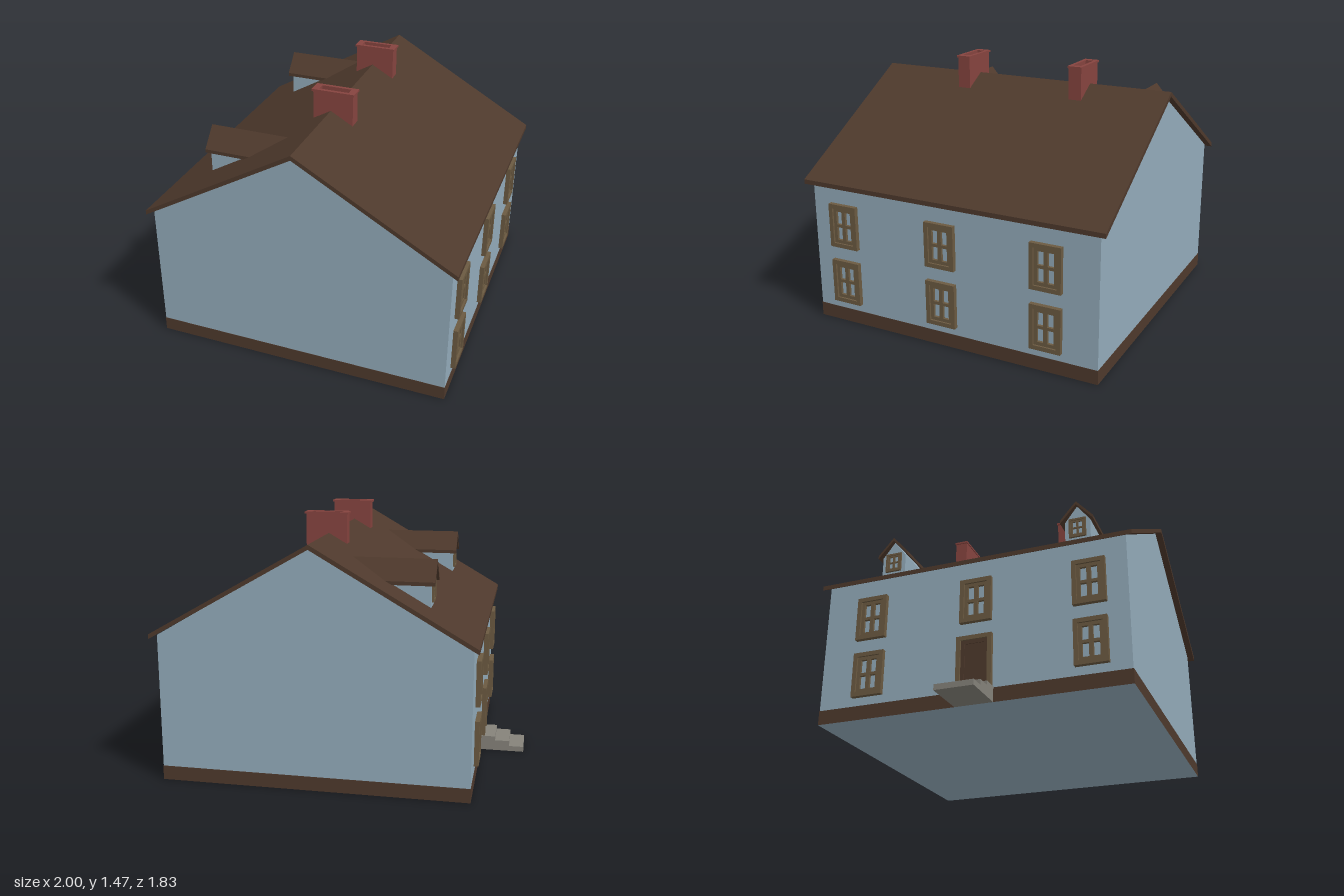
import * as THREE from 'three';

const mat = (name, color) => Object.assign(new THREE.MeshStandardMaterial({ color }), { name });
const wallBlue = mat('wall blue', 0x93abba);
const roofBrown = mat('roof brown', 0x4e392c);
const brick = mat('brick red', 0x86443f);
const timber = mat('window timber', 0x6b5a41);
const stone = mat('step stone', 0x85827a);

function add(parent, name, geometry, material, x = 0, y = 0, z = 0) {
  const mesh = new THREE.Mesh(geometry, material);
  mesh.name = name;
  mesh.position.set(x, y, z);
  parent.add(mesh);
  return mesh;
}

const polygon = (points) => new THREE.Shape(points.map(([x, y]) => new THREE.Vector2(x, y)));
const rect = (x0, y0, x1, y1) => [[x0, y0], [x1, y0], [x1, y1], [x0, y1]];

// Straight extrusion of an outline, with optional holes
function extrude(points, depth, holes = []) {
  const shape = polygon(points);
  for (const h of holes) shape.holes.push(polygon(h));
  return new THREE.ExtrudeGeometry(shape, { depth, bevelEnabled: false });
}

// Roof section: a bent strip of even vertical thickness
const chevron = (x0, y0, xr, yr, x1, y1, t) =>
  [[x0, y0 - t], [xr, yr - t], [x1, y1 - t], [x1, y1], [xr, yr], [x0, y0]];

// Four-pane window facing +z, centred on its origin
function makeWindow(name, w, h, border, sash, depth) {
  const g = new THREE.Group();
  g.name = name;
  const a = w / 2, b = h / 2, c = a - border, d = b - border;
  add(g, 'windowFrame', extrude(rect(-a, -b, a, b), depth, [rect(-c, -d, c, d)]), timber);
  const e = c - sash, f = d - sash, m = sash * 0.6, n = sash * 0.45;
  const panes = [
    rect(-e, -f, -m, -n), rect(m, -f, e, -n),
    rect(-e, n, -m, f), rect(m, n, e, f),
  ];
  add(g, 'windowSash', extrude(rect(-c, -d, c, d), depth * 0.6, panes), timber);
  return g;
}

// Put a part built facing +z onto a side wall (side -1 or +1)
function mount(parent, part, side, x, y, z) {
  part.rotation.y = side * Math.PI / 2;
  part.position.set(x, y, z);
  parent.add(part);
}

function makeDoor() {
  const g = new THREE.Group();
  g.name = 'door';
  const a = 0.1, h = 0.3, t = 0.024;
  add(g, 'doorFrame', extrude(
    [[-a, 0], [-a + t, 0], [-a + t, h - t], [a - t, h - t], [a - t, 0], [a, 0], [a, h], [-a, h]],
    0.024), timber);
  add(g, 'doorLeaf', new THREE.BoxGeometry(2 * (a - t), h - t, 0.01), roofBrown, 0, (h - t) / 2, 0.005);
  // Raised stiles and rails around the door panels
  add(g, 'doorPanelling', extrude(rect(-a + t, 0, a - t, h - t), 0.014,
    [rect(-0.055, 0.025, 0.055, 0.255)]), roofBrown);
  return g;
}

function makeDormer(z) {
  const g = new THREE.Group();
  g.name = 'dormer';
  g.position.z = z;
  const body = add(g, 'dormerWalls', extrude(
    [[-0.075, 0.98], [0.075, 0.98], [0.075, 1.13], [0, 1.228], [-0.075, 1.13]], 0.36), wallBlue, -0.497);
  body.rotation.y = Math.PI / 2;
  const roof = add(g, 'dormerRoof', extrude(
    chevron(-0.097, 1.14, 0, 1.25, 0.097, 1.14, 0.02), 0.46), roofBrown, -0.52);
  roof.rotation.y = Math.PI / 2;
  mount(g, makeWindow('dormerWindow', 0.1, 0.12, 0.012, 0.01, 0.012), -1, -0.497, 1.085, 0);
  return g;
}

function makeChimney(z) {
  const g = new THREE.Group();
  g.name = 'chimney';
  g.position.set(0.123, 0, z);
  const flue = [rect(-0.085, -0.023, 0.085, 0.023)];
  const stack = add(g, 'chimneyStack', extrude(rect(-0.115, -0.038, 0.115, 0.038), 0.25, flue), brick, 0, 1.21);
  const cap = add(g, 'chimneyCap', extrude(rect(-0.123, -0.043, 0.123, 0.043), 0.012, flue), brick, 0, 1.454);
  for (const m of [stack, cap]) m.rotation.x = -Math.PI / 2;
  return g;
}

export function createModel() {
  const house = new THREE.Group();
  house.name = 'house';
  const xL = -0.743, xR = 0.966, zW = 0.875, ridge = 0.11;

  // Gabled body and roof, extruded front to back
  add(house, 'walls', extrude(
    [[xL, 0.002], [xR, 0.002], [xR, 0.832], [ridge, 1.325], [xL, 0.832]], 2 * zW), wallBlue, 0, 0, -zW);
  add(house, 'roof', extrude(
    chevron(-0.772, 0.842, ridge, 1.35, 1, 0.842, 0.026), 1.826), roofBrown, 0, 0, -0.913);

  // Plinth band, with a plain underside
  const sides = [roofBrown, roofBrown, roofBrown, wallBlue, roofBrown, roofBrown];
  add(house, 'plinth', new THREE.BoxGeometry(xR - xL + 0.004, 0.08, 2 * zW + 0.004), sides,
    (xL + xR) / 2, 0.04, 0);

  // Windows on both long sides; the door takes the lower middle place on the -x side
  for (const side of [-1, 1]) {
    for (const z of [-0.585, 0.042, 0.671]) {
      for (const y of [0.255, 0.592]) {
        if (side < 0 && y < 0.3 && z > 0 && z < 0.1) continue;
        mount(house, makeWindow('window', 0.18, 0.255, 0.024, 0.019, 0.026),
          side, side < 0 ? xL : xR, y, z);
      }
    }
  }
  mount(house, makeDoor(), -1, xL, 0.085, 0.038);

  // Entrance steps as one stepped block
  add(house, 'steps', extrude(
    [[-1, 0], [xL, 0], [xL, 0.086], [-0.829, 0.086], [-0.829, 0.062],
      [-0.914, 0.062], [-0.914, 0.031], [-1, 0.031]], 0.214), stone, 0, 0, -0.07);

  for (const z of [-0.613, 0.547]) house.add(makeDormer(z));
  for (const z of [-0.398, 0.312]) house.add(makeChimney(z));
  return house;
}
